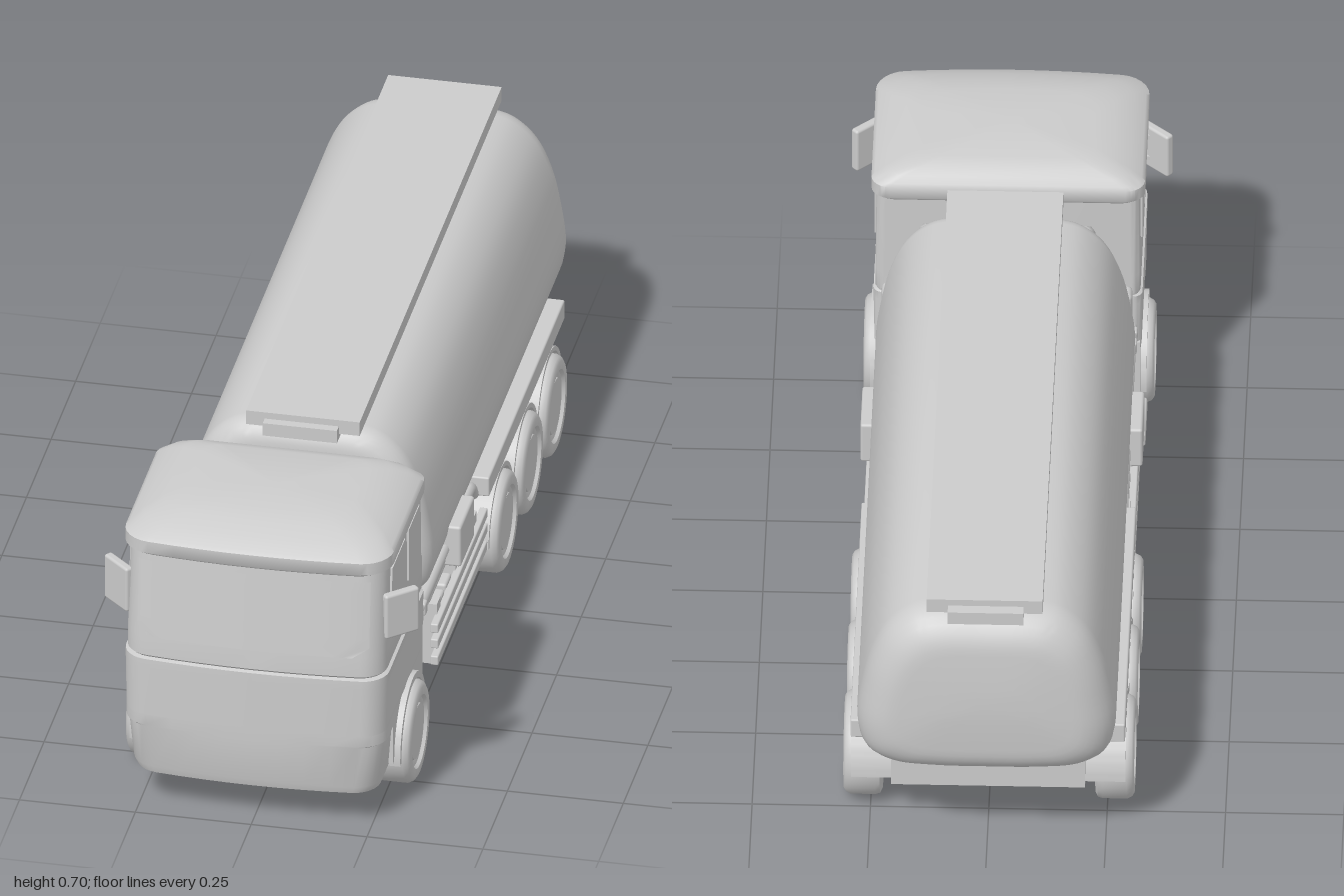
import * as THREE from 'three';
import { toCreasedNormals } from 'three/addons/utils/BufferGeometryUtils.js';
import { RoundedBoxGeometry } from 'three/addons/geometries/RoundedBoxGeometry.js';

const mat = new THREE.MeshStandardMaterial({ color: 0xcccccc, side: THREE.DoubleSide });

// Skin closed rings of [x, y, z] points and cap both ends
function loft(rings, crease = 0.6) {
  const n = rings[0].length, pos = rings.flat(2), index = [];
  rings.slice(1).forEach((_, k) => {
    for (let i = 0; i < n; i++) {
      const a = k * n + i, b = k * n + (i + 1) % n;
      index.push(a, b, b + n, a, b + n, a + n);
    }
  });
  [0, rings.length - 1].forEach((k, end) => {
    const c = pos.length / 3;
    for (let j = 0; j < 3; j++) pos.push(rings[k].reduce((s, p) => s + p[j], 0) / n);
    for (let i = 0; i < n; i++) {
      const a = k * n + i, b = k * n + (i + 1) % n;
      end ? index.push(c, a, b) : index.push(c, b, a);
    }
  });
  const g = new THREE.BufferGeometry();
  g.setAttribute('position', new THREE.Float32BufferAttribute(pos, 3));
  g.setIndex(index);
  return toCreasedNormals(g, crease);
}

// Horizontal rounded rectangle with a gently bowed front edge
function planRing(y, hx, z0, z1, rf = 0.05, rb = 0.02) {
  const pts = [], bow = 0.018;
  [[1, 1], [1, -1], [-1, -1], [-1, 1]].forEach(([sx, sz], q) => {
    const r = sz > 0 ? rf : rb;
    for (let i = 0; i <= 6; i++) {
      const a = (q + i / 6) * Math.PI / 2;
      const x = sx * (hx - r) + r * Math.sin(a);
      const z = (sz > 0 ? z1 - r : z0 + r) + r * Math.cos(a);
      pts.push([x, y, sz > 0 ? z - bow * (x / hx) ** 2 : z]);
    }
  });
  for (let i = 1; i < 8; i++) {
    const x = (hx - rf) * (i / 4 - 1);
    pts.push([x, y, z1 - bow * (x / hx) ** 2]);
  }
  return pts;
}

export function createModel() {
  const model = new THREE.Group();
  const add = (name, geo) => {
    const m = new THREE.Mesh(geo, mat);
    m.name = name;
    model.add(m);
    return m;
  };
  const box = (name, [x0, x1], [y0, y1], [z0, z1], r = 0) => {
    const w = Math.abs(x1 - x0), h = y1 - y0, d = z1 - z0;
    const g = r ? new RoundedBoxGeometry(w, h, d, 2, r) : new THREE.BoxGeometry(w, h, d);
    return add(name, g.translate((x0 + x1) / 2, (y0 + y1) / 2, (z0 + z1) / 2));
  };
  // Side-view outline (z, y) given thickness across x
  const sidePanel = (name, shape, x0, x1) => {
    const d = Math.abs(x1 - x0);
    const g = new THREE.ExtrudeGeometry(shape, { depth: d, bevelEnabled: false, curveSegments: 24 });
    return add(name, toCreasedNormals(g.rotateY(-Math.PI / 2).translate((x0 + x1) / 2 + d / 2, 0, 0), 0.5));
  };
  const poly = pts => new THREE.Shape(pts.map(p => new THREE.Vector2(...p)));
  const tube = (name, pts, r) => add(name, new THREE.TubeGeometry(
    new THREE.CatmullRomCurve3(pts.map(p => new THREE.Vector3(...p)), false, 'catmullrom', 0.2), 32, r, 10));

  // Cab: body above the arches, bumper ahead of them, and roof cap
  add('cabBody', loft([
    [0.235, 0.282, 1.0], [0.35, 0.284, 1.0], [0.37, 0.284, 1.0], [0.373, 0.277, 0.992],
    [0.379, 0.28, 0.998], [0.425, 0.28, 0.995], [0.62, 0.278, 0.975]
  ].map(([y, hx, z1]) => planRing(y, hx, 0.57, z1))));
  add('bumper', loft([
    [0.08, 0.25, 0.97], [0.088, 0.262, 0.985], [0.105, 0.268, 0.99], [0.207, 0.276, 1.0],
    [0.21, 0.282, 1.0], [0.24, 0.282, 1.0]
  ].map(([y, hx, z1]) => planRing(y, hx, 0.855, z1, 0.05, 0.005))));
  add('roof', loft([
    [0.615, 0.28, 0.57, 0.98], [0.622, 0.289, 0.565, 0.988], [0.65, 0.289, 0.565, 0.988],
    [0.656, 0.282, 0.57, 0.98], [0.672, 0.258, 0.577, 0.945], [0.686, 0.222, 0.592, 0.905],
    [0.695, 0.18, 0.62, 0.86]
  ].map(([y, hx, z0, z1]) => planRing(y, hx, z0, z1, 0.06, 0.04)), 0.9));

  // Windshield follows the bowed, leaning cab front
  const glass = new THREE.PlaneGeometry(0.5, 0.175, 20, 8), p = glass.attributes.position;
  for (let i = 0; i < p.count; i++) {
    const y = p.getY(i) + 0.5125;
    const x = p.getX(i) * (y < 0.43 ? 0.86 : 1);
    const corner = Math.max(0, Math.abs(x) - 0.228);
    const dip = 0.05 - Math.sqrt(0.0025 - corner * corner);
    p.setXYZ(i, x, y, 0.999 - (y - 0.425) * 0.103 - 0.018 * (x / 0.279) ** 2 - dip);
  }
  glass.computeVertexNormals();
  add('windshield', glass);

  // Cab underside, with the wheel arch running right across
  const under = poly([[0.57, 0.25], [0.57, 0.1], [0.605, 0.1]]);
  under.absarc(0.73, 0.11, 0.125, Math.PI, 0, true);
  under.lineTo(0.87, 0.11);
  under.lineTo(0.87, 0.25);
  sidePanel('cabUnderside', under, -0.279, 0.279);

  // Tank: sides leaning in towards the top, with domed ends
  const half = [[0, 0.25], [0.12, 0.252], [0.205, 0.263], [0.255, 0.295], [0.273, 0.36], [0.264, 0.45],
    [0.243, 0.54], [0.21, 0.61], [0.165, 0.652], [0.12, 0.667], [0, 0.67]];
  const outline = half.concat(half.slice(1, -1).reverse().map(([x, y]) => [-x, y]));
  const section = new THREE.CatmullRomCurve3(
    outline.map(([x, y]) => new THREE.Vector3(x, y, 0)), true).getPoints(80).slice(0, -1);
  const tankRing = (z, inset) => section.map(v =>
    [v.x * (1 - inset / 0.275), 0.45 + (v.y - 0.45) * (1 - inset / 0.22), z]);
  const rings = [tankRing(-1, 0.17)];
  for (let i = 0; i <= 8; i++) {
    const a = i / 8 * Math.PI / 2;
    rings.push(tankRing(-0.905 - 0.088 * Math.cos(a), 0.09 * (1 - Math.sin(a))));
  }
  for (let i = 8; i >= 0; i--) {
    const a = i / 8 * Math.PI / 2;
    rings.push(tankRing(0.425 + 0.05 * Math.cos(a), 0.055 * (1 - Math.sin(a))));
  }
  rings.push(tankRing(0.482, 0.15));
  add('tank', loft(rings, 1.2));
  box('catwalk', [-0.12, 0.125], [0.672, 0.705], [-0.96, 0.485]);
  box('catwalkSupport', [-0.08, 0.08], [0.66, 0.69], [-0.985, 0.505]);

  // Chassis and the cross members behind the cab
  box('chassis', [-0.205, 0.205], [0.105, 0.27], [-0.81, 0.575]);
  box('tankCradle', [-0.2, 0.2], [0.26, 0.31], [-0.8, 0.45]);
  box('batteryStep', [-0.295, -0.16], [0.075, 0.108], [0.435, 0.57], 0.006);
  for (const z of [0.51, 0.55]) box('crossMember', [-0.275, 0.275], [0.27, 0.3], [z - 0.012, z + 0.012], 0.005);

  // Wheel outline (radius, distance from centre line)
  const wheelProfile = [[0, 0.225], [0.098, 0.225], [0.108, 0.23], [0.111, 0.24], [0.111, 0.292], [0.106, 0.302],
    [0.098, 0.307], [0.08, 0.307], [0.075, 0.3], [0.063, 0.296], [0.06, 0.302], [0, 0.302]]
    .map(v => new THREE.Vector2(...v));

  for (const s of [1, -1]) {
    // Wheels
    for (const z of [0.73, -0.175, -0.425, -0.67]) {
      const g = new THREE.LatheGeometry(wheelProfile, 40).rotateZ(-s * Math.PI / 2);
      add('wheel', toCreasedNormals(g, 0.6)).position.set(0, 0.112, z);
    }
    // Rear mudguards and the rail above them
    for (const z of [-0.175, -0.425, -0.67]) {
      const arc = new THREE.Shape();
      arc.absarc(z, 0.112, 0.127, 0, Math.PI, false);
      arc.absarc(z, 0.112, 0.117, Math.PI, 0, true);
      sidePanel('rearMudguard', arc, s * 0.2, s * 0.29);
    }
    box('sideRail', [s * 0.18, s * 0.29], [0.237, 0.283], [-0.825, -0.055], 0.004);

    // Front arch lip
    const lip = new THREE.Shape();
    lip.absarc(0.73, 0.11, 0.13, -0.1, Math.PI + 0.1, false);
    lip.absarc(0.73, 0.11, 0.116, Math.PI + 0.1, -0.1, true);
    sidePanel('archLip', lip, s * 0.25, s * 0.292);

    // Side windows
    sidePanel('rearSideWindow', poly([[0.62, 0.49], [0.62, 0.6], [0.73, 0.6], [0.73, 0.477]]), s * 0.27, s * 0.283);
    sidePanel('frontSideWindow', poly([[0.765, 0.47], [0.765, 0.6], [0.895, 0.6], [0.915, 0.45]]), s * 0.27, s * 0.283);

    // Mirrors angled back
    const mirror = add('mirror', new RoundedBoxGeometry(0.083, 0.105, 0.02, 2, 0.006));
    mirror.position.set(s * 0.304, 0.507, 0.913);
    mirror.rotation.y = s * 0.75;
    for (const y of [0.48, 0.535]) box('mirrorArm', [s * 0.265, s * 0.3], [y - 0.005, y + 0.005], [0.912, 0.924]);

    // Air canister and pipe behind the cab
    box('airCanister', [s * 0.2, s * 0.265], [0.335, 0.422], [0.5, 0.545], 0.012);
    box('canisterBracket', [s * 0.22, s * 0.245], [0.28, 0.34], [0.51, 0.535]);
    tube('airPipe', [[s * 0.21, 0.4, 0.522], [s * 0.175, 0.44, 0.522], [s * 0.175, 0.55, 0.522],
      [s * 0.17, 0.58, 0.512], [s * 0.15, 0.59, 0.49], [s * 0.11, 0.592, 0.45]], 0.015);

    // Delivery pipes and valve box
    tube('upperPipe', [[s * 0.26, 0.29, 0.595], [s * 0.26, 0.29, 0.03], [s * 0.26, 0.28, -0.01], [s * 0.26, 0.255, -0.03]], 0.013);
    tube('lowerPipe', [[s * 0.25, 0.25, 0.43], [s * 0.25, 0.25, -0.04]], 0.013);
    box('pipeShelf', [s * 0.2, s * 0.265], [0.262, 0.28], [-0.03, 0.58]);
    box('valveBox', [s * 0.22, s * 0.298], [0.25, 0.347], [0.13, 0.27], 0.006);

    // Underrun guard bars, posts and equipment boxes
    for (const y of [0.122, 0.163, 0.2]) box('guardBar', [s * 0.27, s * 0.287], [y - 0.011, y + 0.011], [-0.055, 0.45], 0.003);
    for (const z of [0.39, 0.2, 0.02]) box('guardPost', [s * 0.2, s * 0.275], [0.09, 0.235], [z - 0.018, z + 0.018]);
    for (const z of [0.34, 0.27, 0.13, 0.07]) box('equipmentBox', [s * 0.19, s * 0.272], [0.085, 0.22], [z - 0.027, z + 0.027], 0.006);
  }
  return model;
}
